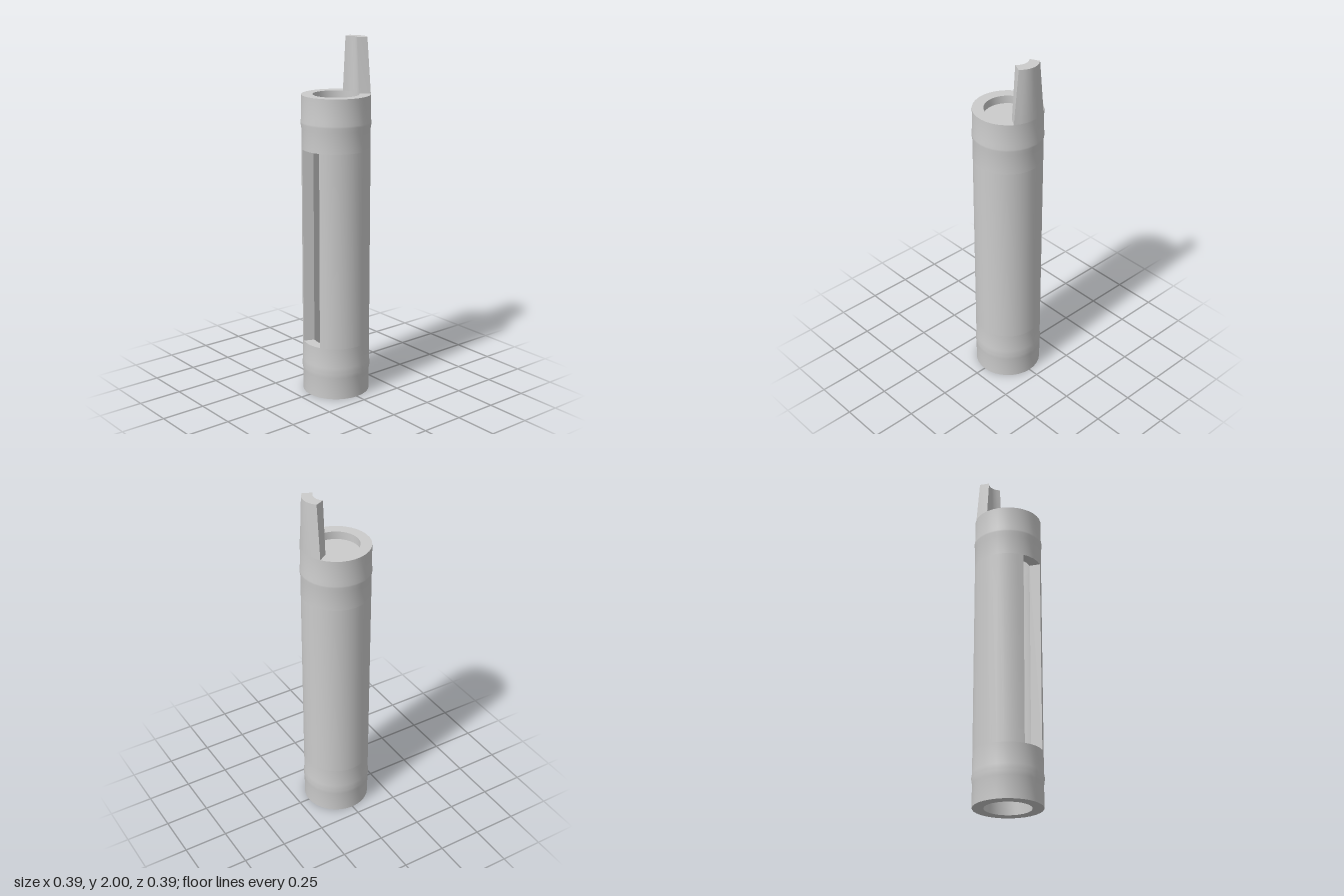
import * as THREE from 'three';
import { toCreasedNormals } from 'three/addons/utils/BufferGeometryUtils.js';

const SEGMENTS = 32, STEP = (Math.PI * 2) / SEGMENTS;
const OUTER = 0.189, INNER = 0.128, NODE = 0.193;
const TOP = 1.7, SLOT_LOW = 0.3, SLOT_HIGH = 1.405;

export function createModel() {
  const group = new THREE.Group();
  const material = new THREE.MeshStandardMaterial({ color: 0xcccccc });

  function add(name, geometry) {
    const mesh = new THREE.Mesh(toCreasedNormals(geometry, 0.5), material);
    mesh.name = name;
    group.add(mesh);
  }

  // Full ring turned from [radius, height] points
  function turned(points) {
    return new THREE.LatheGeometry(points.map(([r, y]) => new THREE.Vector2(r, y)), SEGMENTS);
  }

  // Upright piece of tube wall, spanning `steps` facets each side of the back
  function wall(steps, outer, low, high) {
    const points = [];
    const arc = (r, i) => points.push(new THREE.Vector2(r * Math.sin(i * STEP), r * Math.cos(i * STEP)));
    for (let i = -steps; i <= steps; i++) arc(outer, i);
    for (let i = steps; i >= -steps; i--) arc(INNER, i);
    const geometry = new THREE.ExtrudeGeometry(new THREE.Shape(points), { depth: high - low, bevelEnabled: false });
    return geometry.rotateX(-Math.PI / 2).translate(0, low, 0);
  }

  // Slightly raised node on the outside
  const node = (y) => [[OUTER, y - 0.03], [NODE, y - 0.005], [NODE, y + 0.005], [OUTER, y + 0.03]];

  // Lower end with recessed floor
  add('lowerEnd', turned([
    [OUTER, 0], ...node(0.155), [OUTER, SLOT_LOW], [INNER, SLOT_LOW],
    [INNER, 0.15], [0, 0.15], [0, 0.1], [INNER, 0.1], [INNER, 0], [OUTER, 0],
  ]));

  // Hollow middle, open at the front slot
  add('slottedMiddle', wall(SEGMENTS / 2 - 2, OUTER, SLOT_LOW, SLOT_HIGH));

  // Upper end with shallow recessed partition
  add('upperEnd', turned([
    [OUTER, SLOT_HIGH], ...node(1.55), [OUTER, TOP], [INNER, TOP],
    [INNER, 1.655], [0, 1.655], [0, 1.6], [INNER, 1.6], [INNER, SLOT_HIGH], [OUTER, SLOT_HIGH],
  ]));

  // Tongue rising from the back rim, narrowing sideways toward its tip
  const tongue = wall(3, OUTER, TOP, 2);
  const position = tongue.attributes.position;
  for (let i = 0; i < position.count; i++) {
    const t = (position.getY(i) - TOP) / 0.3;
    position.setX(i, position.getX(i) * (1 - 0.3 * t));
  }
  add('backTongue', tongue);

  return group;
}
